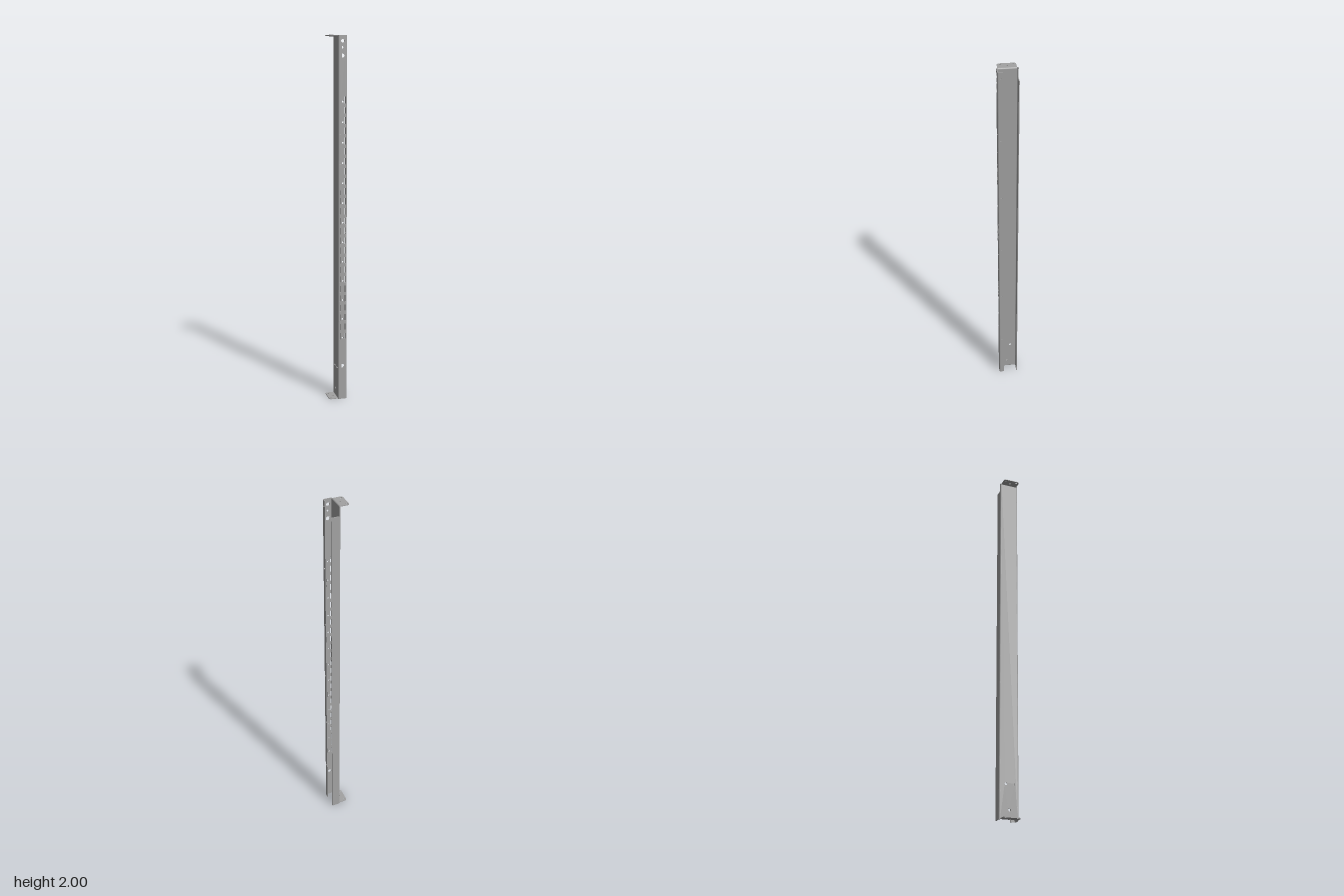
import * as THREE from 'three';

const H = 2;        // post height
const T = 0.004;    // sheet thickness
const R = 0.007;    // outer bend radius
const W = 0.049;    // flange width along x
const Z = 0.0535;   // half depth of the channel
const E = Z - R;    // half width of the flat web

const steel = new THREE.MeshStandardMaterial({ color: 0xa3a3a3 });
steel.name = 'galvanised steel';

function rect(u0, v0, u1, v1, Type = THREE.Shape) {
  const s = new Type();
  s.moveTo(u0, v0).lineTo(u1, v0).lineTo(u1, v1).lineTo(u0, v1).closePath();
  return s;
}

function circle(u, v, r) {
  const p = new THREE.Path();
  p.absarc(u, v, r, 0, Math.PI * 2, true);
  return p;
}

// Quarter ring used for every folded edge
function fold(cx, cy, a) {
  const s = new THREE.Shape();
  s.absarc(cx, cy, R, a, a + Math.PI / 2, false);
  s.absarc(cx, cy, R - T, a + Math.PI / 2, a, true);
  s.closePath();
  return s;
}

function extrude(name, shape, depth, holes = []) {
  shape.holes.push(...holes);
  const geo = new THREE.ExtrudeGeometry(shape, { depth, bevelEnabled: false, curveSegments: 8 });
  const mesh = new THREE.Mesh(geo, steel);
  mesh.name = name;
  return mesh;
}

export function createModel() {
  const post = new THREE.Group();
  post.name = 'post';
  const add = (mesh, x, y, z, rx = 0, ry = 0) => {
    mesh.position.set(x, y, z);
    mesh.rotation.set(rx, ry, 0);
    post.add(mesh);
  };

  // Front flange: paired slots, with a small hole in every other row
  const holes = [
    circle(0.023, 1.97, 0.009), circle(0.023, 1.937, 0.006),
    circle(0.023, 1.895, 0.011), circle(0.023, 0.195, 0.011),
  ];
  for (let i = 0; i < 25; i++) {
    const y = 0.368 + i * 0.0541;
    for (const x of [0.0075, 0.0345]) {
      holes.push(rect(x, y - 0.018, x + 0.007, y + 0.018, THREE.Path));
    }
    if (i % 2 === 0) holes.push(circle(0.0245, y - 0.009, 0.005));
  }
  add(extrude('frontFlange', rect(R, 0, W - R, H), T, holes), 0, 0, Z - T);

  // Back flange, cut short at the top
  add(extrude('backFlange', rect(R, 0, W, H - 0.05), T), 0, 0, -Z);

  // Web joining the flanges
  const webHoles = [circle(0.027, 0.18, 0.007), circle(-0.016, 0.18, 0.007), circle(0.003, 0.05, 0.007)];
  add(extrude('web', rect(-E, R, E, H - R), T, webHoles), T, 0, 0, 0, -Math.PI / 2);

  // Return lip with evenly spaced small holes
  const lipHoles = [];
  for (let i = 0; i < 6; i++) lipHoles.push(circle(0.036, 0.27 + i * 0.34, 0.005));
  add(extrude('returnLip', rect(0.025, 0, E, H), T, lipHoles), W, 0, 0, 0, -Math.PI / 2);

  // Vertical folds
  const folds = [
    ['frontFold', R, E, Math.PI / 2],
    ['backFold', R, -E, Math.PI],
    ['lipFold', W - R, E, 0],
  ];
  for (const [name, cx, cz, a] of folds) {
    add(extrude(name, fold(cx, cz, a), H), 0, H, 0, Math.PI / 2);
  }

  // Mounting tabs at both ends, folded out of the web
  for (const [name, top, cy, a] of [['topTab', H, H - R, 0], ['bottomTab', T, R, -Math.PI / 2]]) {
    const c = 0.013, x0 = -0.05, x1 = T - R;
    const s = new THREE.Shape();
    s.moveTo(x1, -E).lineTo(x1, E).lineTo(x0 + c, E);
    s.absarc(x0 + c, E - c, c, Math.PI / 2, Math.PI, false);
    s.absarc(x0 + c, -E + c, c, Math.PI, Math.PI * 1.5, false);
    s.closePath();
    const tabHoles = [circle(-0.037, -0.032, 0.005), circle(-0.037, 0.032, 0.005), circle(-0.019, 0, 0.005)];
    add(extrude(name, s, T, tabHoles), 0, top, 0, Math.PI / 2);
    add(extrude(name + 'Fold', fold(T - R, cy, a), 2 * E), 0, 0, -E);
  }
  return post;
}
